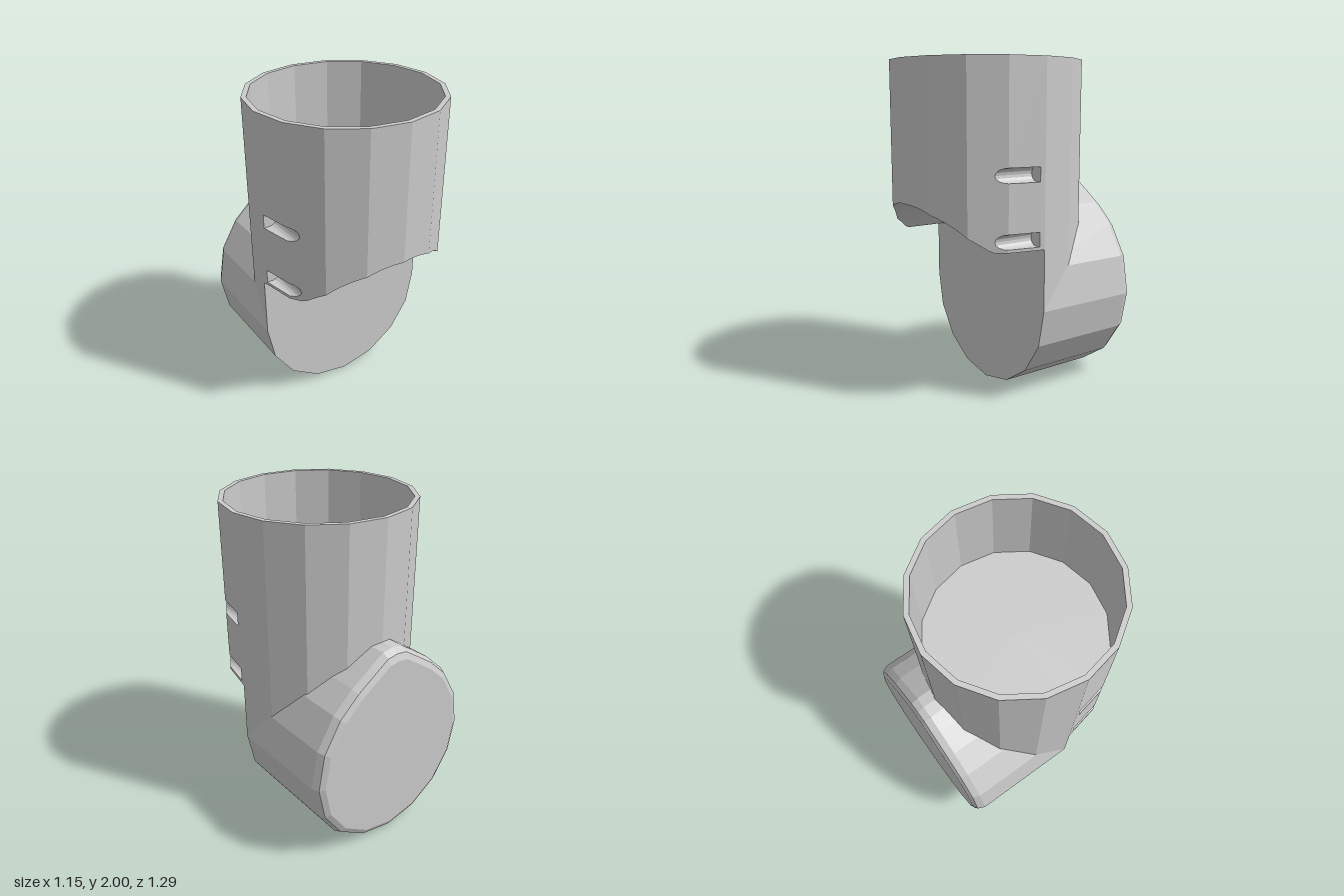
import * as THREE from 'three';

const R = 0.575;       // outer radius of both cylinders
const WALL = 0.03;
const Z0 = 0.07;       // tube axis, also the plane of the flat front face
const FLOOR = 1.45;    // bottom of the socket
const SKIRT = 0.94;    // lowest edge of the front overhang
const SLOTS = [1.0, 1.365];
const SLOT_R = 0.042;
const STEP = Math.PI / 8;

const material = new THREE.MeshStandardMaterial({
  color: 0xcccccc, flatShading: true, side: THREE.DoubleSide,
});

// Front facet corners: x and z of the 16-sided tube, from centre to side
const corner = (i) => [R * Math.sin(i * STEP), Z0 + R * Math.cos(i * STEP)];
const tubeZ = (x) => {
  const i = Math.min(3, Math.floor(Math.asin(Math.min(1, Math.max(0, x / R))) / STEP + 1e-6));
  const [xa, za] = corner(i), [xb, zb] = corner(i + 1);
  return za + (zb - za) * (x - xa) / (xb - xa);
};

// Round clearance cut under the front overhang
const archY = (x) => Math.max(SKIRT, 0.58 + Math.sqrt(Math.max(0, 0.36 - x * x)));

function mesh(name, geometry, parent) {
  const g = geometry.index ? geometry.toNonIndexed() : geometry;
  g.computeVertexNormals();
  const m = new THREE.Mesh(g, material);
  m.name = name;
  parent.add(m);
  return m;
}

const outline = (pts) => new THREE.ShapeGeometry(new THREE.Shape(pts.map(([x, y]) => new THREE.Vector2(x, y))));

// Flat outline in x and y pushed out onto the tube's front facets
function facet(pts) {
  const g = outline(pts), p = g.attributes.position;
  for (let i = 0; i < p.count; i++) p.setZ(i, tubeZ(p.getX(i)));
  return g;
}

// Loops of equal length joined into a skin
function skin(rows, closed) {
  const n = rows[0].length, pos = rows.flat(2), idx = [];
  for (let r = 0; r < rows.length - 1; r++) {
    for (let i = 0; i < (closed ? n : n - 1); i++) {
      const a = r * n + i, b = r * n + (i + 1) % n;
      idx.push(a, b, a + n, b, b + n, a + n);
    }
  }
  const g = new THREE.BufferGeometry();
  g.setAttribute('position', new THREE.Float32BufferAttribute(pos, 3));
  g.setIndex(idx);
  return g;
}

// Wall running along z from a back plane out to the tube surface
const ribbon = (pts, zBack) => skin([
  pts.map(([x, y]) => [x, y, zBack]),
  pts.map(([x, y]) => [x, y, tubeZ(x)]),
], false);

// Half-round slot end, listed from top to bottom
function slotEnd(y, x) {
  const pts = [];
  for (let i = 0; i <= 8; i++) {
    const a = Math.PI / 2 + i * Math.PI / 8;
    pts.push([x + SLOT_R * Math.cos(a), y + SLOT_R * Math.sin(a)]);
  }
  return pts;
}

function frontHalf() {
  const half = new THREE.Group();
  const xs = [0, 1, 2, 3, 4].map((i) => corner(i)[0]);

  // Plain facets and the one holding the round slot ends
  for (let i = 0; i < 3; i++) {
    const pts = [];
    for (let k = 0; k <= 6; k++) {
      const x = xs[i] + (xs[i + 1] - xs[i]) * k / 6;
      pts.push([x, archY(x)]);
    }
    if (i === 2) SLOTS.forEach((y) => pts.push(...slotEnd(y, xs[3]).reverse()));
    pts.push([xs[i + 1], 2], [xs[i], 2]);
    mesh('tubeFrontFacet', facet(pts), half);
  }

  // Side facet, broken into bands by the slots
  const levels = [SKIRT, ...SLOTS.flatMap((y) => [y - SLOT_R, y + SLOT_R]), 2];
  for (let i = 0; i < levels.length; i += 2) {
    const a = levels[i], b = levels[i + 1];
    mesh('tubeSideBand', facet([[xs[3], a], [xs[4], a], [xs[4], b], [xs[3], b]]), half);
  }

  // Underside of the overhang
  const under = [];
  for (let k = 0; k <= 24; k++) {
    const x = xs[Math.floor(k / 6)] + (k < 24 ? (xs[Math.floor(k / 6) + 1] - xs[Math.floor(k / 6)]) * (k % 6) / 6 : 0);
    under.push([x, archY(x)]);
  }
  mesh('overhangUnderside', ribbon(under, Z0), half);

  // Slot walls and their flat back ends
  for (const y of SLOTS) {
    const path = [[xs[4], y + SLOT_R], ...slotEnd(y, xs[3]), [xs[4], y - SLOT_R]];
    mesh('slotWall', ribbon(path, Z0), half);
    const edge = 0.569;
    const end = [[edge, y + SLOT_R], ...slotEnd(y, xs[3]), [edge, y - SLOT_R]];
    mesh('slotEnd', outline(end).translate(0, 0, 0.1), half);
    const side = new THREE.PlaneGeometry(0.031, 2 * SLOT_R).rotateY(Math.PI / 2 - 0.2);
    mesh('slotEndSide', side.translate(0.572, y, 0.085), half);
  }
  return half;
}

export function createModel() {
  const model = new THREE.Group();
  model.name = 'pipeElbow';

  // Front half of the upright tube, mirrored
  for (const s of [1, -1]) {
    const half = frontHalf();
    half.name = s > 0 ? 'tubeFrontLeft' : 'tubeFrontRight';
    half.scale.x = s;
    model.add(half);
  }

  // Back half of the tube
  mesh('tubeBack', new THREE.CylinderGeometry(R, R, 1.425, 8, 1, true, Math.PI / 2, Math.PI)
    .translate(0, 2 - 1.425 / 2, Z0), model);

  // Socket: inner wall, floor and rim
  const inner = R - WALL;
  mesh('socketWall', new THREE.CylinderGeometry(inner, inner, 2 - FLOOR, 16, 1, true)
    .scale(-1, 1, 1).translate(0, (2 + FLOOR) / 2, Z0), model);
  mesh('socketFloor', new THREE.CircleGeometry(inner, 16).rotateX(-Math.PI / 2).translate(0, FLOOR, Z0), model);
  mesh('socketRim', new THREE.RingGeometry(inner, R, 16).rotateX(-Math.PI / 2).translate(0, 2, Z0), model);

  // Lower half outline, from the left side under to the right side
  const lower = [];
  for (let i = 0; i <= 8; i++) lower.push([R * Math.cos(i * STEP), R - R * Math.sin(i * STEP)]);

  // Flat front face, running up behind the overhang
  mesh('frontFace', outline([[-R, 1.2], ...[...lower].reverse(), [R, 1.2]]).translate(0, 0, Z0), model);

  // Rear housing: round below, slightly peaked above, with a rounded back edge
  const upper = [[0.533, 0.81], [0.42, 1.0], [0.29, 1.12], [0.16, 1.21], [0.07, 1.27]];
  const profile = [
    ...lower,
    ...upper.map(([x, y]) => [-x, y]),
    [0, 1.28],
    ...[...upper].reverse(),
  ];
  const loop = (inset, z) => profile.map(([x, y]) => {
    const k = 1 - inset / 0.6;
    return [x * k, 0.6 + (y - 0.6) * k, z];
  });
  mesh('rearHousing', skin([
    loop(0, Z0), loop(0, -0.585), loop(0.02, -0.628), loop(0.055, -0.645),
  ], true), model);
  const back = outline(loop(0.055, 0)).rotateY(Math.PI).translate(0, 0, -0.645);
  mesh('rearFace', back, model);

  return model;
}
